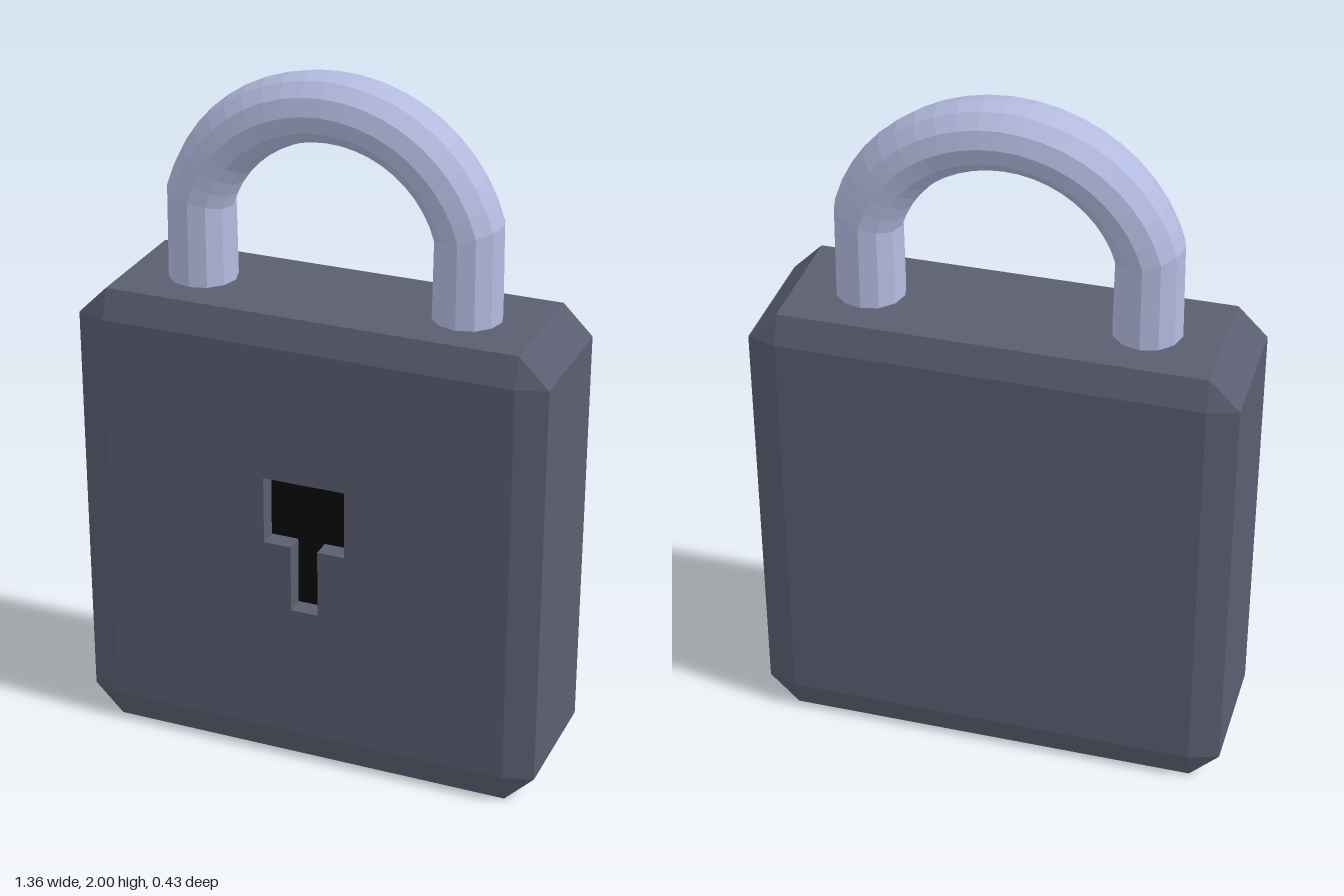
import * as THREE from 'three';

const material = (color) => new THREE.MeshStandardMaterial({ color, flatShading: true });

// Skin a list of closed rings of Vector3 (counter-clockwise about the direction of travel)
function loft(rings) {
  const out = [];
  const tri = (a, b, c) => {
    if (a.equals(b) || b.equals(c) || a.equals(c)) return;
    for (const p of [a, b, c]) out.push(p.x, p.y, p.z);
  };
  for (let i = 0; i < rings.length - 1; i++) {
    const n = rings[i].length;
    for (let j = 0; j < n; j++) {
      const k = (j + 1) % n;
      tri(rings[i][j], rings[i][k], rings[i + 1][k]);
      tri(rings[i][j], rings[i + 1][k], rings[i + 1][j]);
    }
  }
  const g = new THREE.BufferGeometry();
  g.setAttribute('position', new THREE.Float32BufferAttribute(out, 3));
  g.computeVertexNormals();
  return g;
}

const ringAt = (points, z) => points.map(([x, y]) => new THREE.Vector3(x, y, z));
const outline = (points) => points.map(([x, y]) => new THREE.Vector2(x, y));

export function createModel() {
  const model = new THREE.Group();
  model.name = 'padlock';
  const bodyMat = material(0x5a5e70);
  const shackleMat = material(0xb4bbe0);
  const blackMat = material(0x0a0a0a);

  const add = (parent, name, geometry, mat) => {
    const mesh = new THREE.Mesh(geometry, mat);
    mesh.name = name;
    parent.add(mesh);
    return mesh;
  };

  // Body: a slab chamfered on every edge
  const body = new THREE.Group();
  body.name = 'body';
  model.add(body);
  const X = 0.68, x = 0.595, top = 1.365, yt = 1.28, yb = 0.085;
  const zFace = 0.215, zRim = 0.188;
  const octagon = [[X, yb], [X, yt], [x, top], [-x, top], [-X, yt], [-X, yb], [-x, 0], [x, 0]];
  // Front and back rectangle, with corners doubled to match the octagon
  const face = octagon.map(([px, py]) => [Math.sign(px) * x, py > 0.7 ? yt : yb]);
  add(body, 'bodySides', loft([
    ringAt(face, -zFace), ringAt(octagon, -zRim), ringAt(octagon, zRim), ringAt(face, zFace),
  ]), bodyMat);

  const rectangle = [[x, yb], [x, yt], [-x, yt], [-x, yb]];
  add(body, 'backFace', new THREE.ShapeGeometry(new THREE.Shape(outline(rectangle)))
    .rotateY(Math.PI).translate(0, 0, -zFace), bodyMat);

  // Keyhole: square head over a narrow slot, recessed into the front
  const keyhole = [
    [0.12, 0.685], [0.12, 0.885], [-0.12, 0.885], [-0.12, 0.685],
    [-0.04, 0.685], [-0.04, 0.485], [0.04, 0.485], [0.04, 0.685],
  ];
  const zFloor = 0.16;
  const frontShape = new THREE.Shape(outline(rectangle));
  frontShape.holes.push(new THREE.Path(outline(keyhole)));
  add(body, 'frontFace', new THREE.ShapeGeometry(frontShape).translate(0, 0, zFace), bodyMat);
  add(body, 'keyholeWalls', loft([ringAt(keyhole, zFace), ringAt(keyhole, zFloor)]), bodyMat);
  add(body, 'keyholeFloor', new THREE.ShapeGeometry(new THREE.Shape(outline(keyhole)))
    .translate(0, 0, zFloor), blackMat);

  // Shackle: straight legs mitred into an arc, twelve-sided section
  const R = 0.4025, r = 0.0975, centreY = 1.5, start = 0.28, sides = 12, steps = 20;
  const section = (cx, cy, angle) => Array.from({ length: sides }, (_, i) => {
    const phi = (i / sides) * Math.PI * 2;
    const d = r * Math.cos(phi);
    return new THREE.Vector3(cx + d * Math.cos(angle), cy + d * Math.sin(angle), -r * Math.sin(phi));
  });
  const legX = R * Math.cos(start);
  const rings = [section(legX, 1.34, 0)];
  for (let i = 0; i <= steps; i++) {
    const a = start + (Math.PI - 2 * start) * (i / steps);
    rings.push(section(R * Math.cos(a), centreY + R * Math.sin(a), a));
  }
  rings.push(section(-legX, 1.34, Math.PI));
  add(model, 'shackle', loft(rings), shackleMat);

  return model;
}
